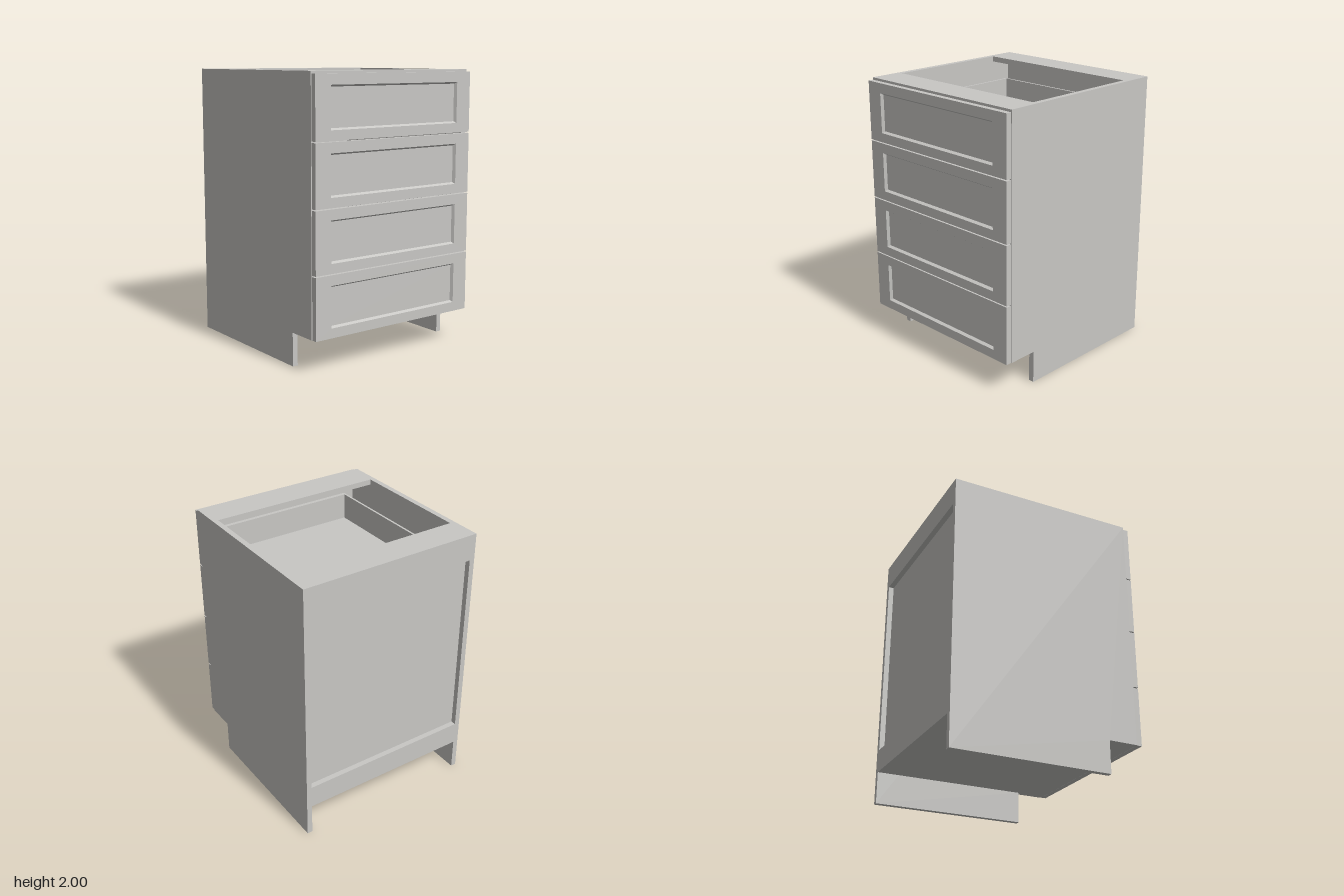
import * as THREE from 'three';

const W = 0.69, T = 0.04, BACK = -0.717, FRONT = 0.675, FACE = 0.717, KICK = 0.238;

// Rectangular rings [halfWidth, bottom, top, z] joined front to back, capped at both ends
function loftRects(rings) {
  const pos = [];
  const corners = rings.map(([w, b, t, z]) => [[-w, b, z], [w, b, z], [w, t, z], [-w, t, z]]);
  const quad = (a, b, c, d) => pos.push(...a, ...b, ...c, ...a, ...c, ...d);
  for (let i = 0; i < corners.length - 1; i++) {
    for (let j = 0; j < 4; j++) {
      const k = (j + 1) % 4;
      quad(corners[i][j], corners[i][k], corners[i + 1][k], corners[i + 1][j]);
    }
  }
  const [a, b, c, d] = corners[0];
  quad(d, c, b, a);
  quad(...corners[corners.length - 1]);
  const g = new THREE.BufferGeometry();
  g.setAttribute('position', new THREE.Float32BufferAttribute(pos, 3));
  g.computeVertexNormals();
  return g;
}

export function createModel() {
  const model = new THREE.Group();
  model.name = 'drawerCabinet';
  const paint = new THREE.MeshStandardMaterial({ color: 0xc8c7c4 });
  paint.name = 'pale grey paint';

  const add = (name, geometry, parent = model) => {
    const mesh = new THREE.Mesh(geometry, paint);
    mesh.name = name;
    parent.add(mesh);
    return mesh;
  };
  // Box given by its limits on each axis
  const box = (name, x0, x1, y0, y1, z0, z1, parent) => {
    const m = add(name, new THREE.BoxGeometry(x1 - x0, y1 - y0, z1 - z0), parent);
    m.position.set((x0 + x1) / 2, (y0 + y1) / 2, (z0 + z1) / 2);
  };

  // Side panels with the toe-kick notch, drawn in (-z, y)
  const profile = new THREE.Shape([
    [-BACK, 0], [-BACK, 2], [-FRONT, 2], [-FRONT, KICK], [-0.455, KICK], [-0.455, 0],
  ].map(([x, y]) => new THREE.Vector2(x, y)));
  for (const [name, x] of [['leftSide', W - T], ['rightSide', -W]]) {
    const side = add(name, new THREE.ExtrudeGeometry(profile, { depth: T, bevelEnabled: false }));
    side.rotation.y = Math.PI / 2;
    side.position.x = x;
  }

  // Carcass between the sides
  const I = W - T;
  box('bottomPanel', -I, I, KICK, KICK + T, BACK, FRONT);
  box('topBackStretcher', -I, I, 2 - T, 2, BACK, -0.49);
  box('topFrontStretcher', -I, I, 2 - T, 2, 0.44, FRONT);
  box('backTopRail', -I, I, 1.81, 2 - T, BACK, BACK + T);
  box('backBottomRail', -I, I, KICK + T, 0.41, BACK, BACK + T);
  box('backPanel', -I, I, KICK + T, 2 - T, BACK + T, BACK + T + 0.015);

  // Four drawers: recessed-panel front plus an open box
  for (let i = 0; i < 4; i++) {
    const drawer = new THREE.Group();
    drawer.name = 'drawer' + (i + 1);
    drawer.position.y = KICK + i * 0.4385;
    model.add(drawer);
    const h = 0.43, w = W - 0.004;
    add('drawerFront', loftRects([
      [w, 0, h, FRONT + 0.002],
      [w, 0, h, FACE],
      [0.56, 0.068, h - 0.072, FACE],
      [0.548, 0.08, h - 0.084, FACE - 0.02],
    ]), drawer);
    const y0 = 0.06, y1 = 0.275, zb = -0.56, zf = FRONT, t = 0.016;
    box('drawerLeftWall', 0.554, 0.57, y0, y1, zb, zf, drawer);
    box('drawerRightWall', -0.57, -0.554, y0, y1, zb, zf, drawer);
    box('drawerBackWall', -0.554, 0.554, y0, y1, zb, zb + t, drawer);
    box('drawerFrontWall', -0.554, 0.554, y0, y1, zf - 0.03, zf, drawer);
    box('drawerFloor', -0.554, 0.554, y0 + 0.005, y0 + 0.02, zb + t, zf - 0.03, drawer);
  }
  return model;
}
